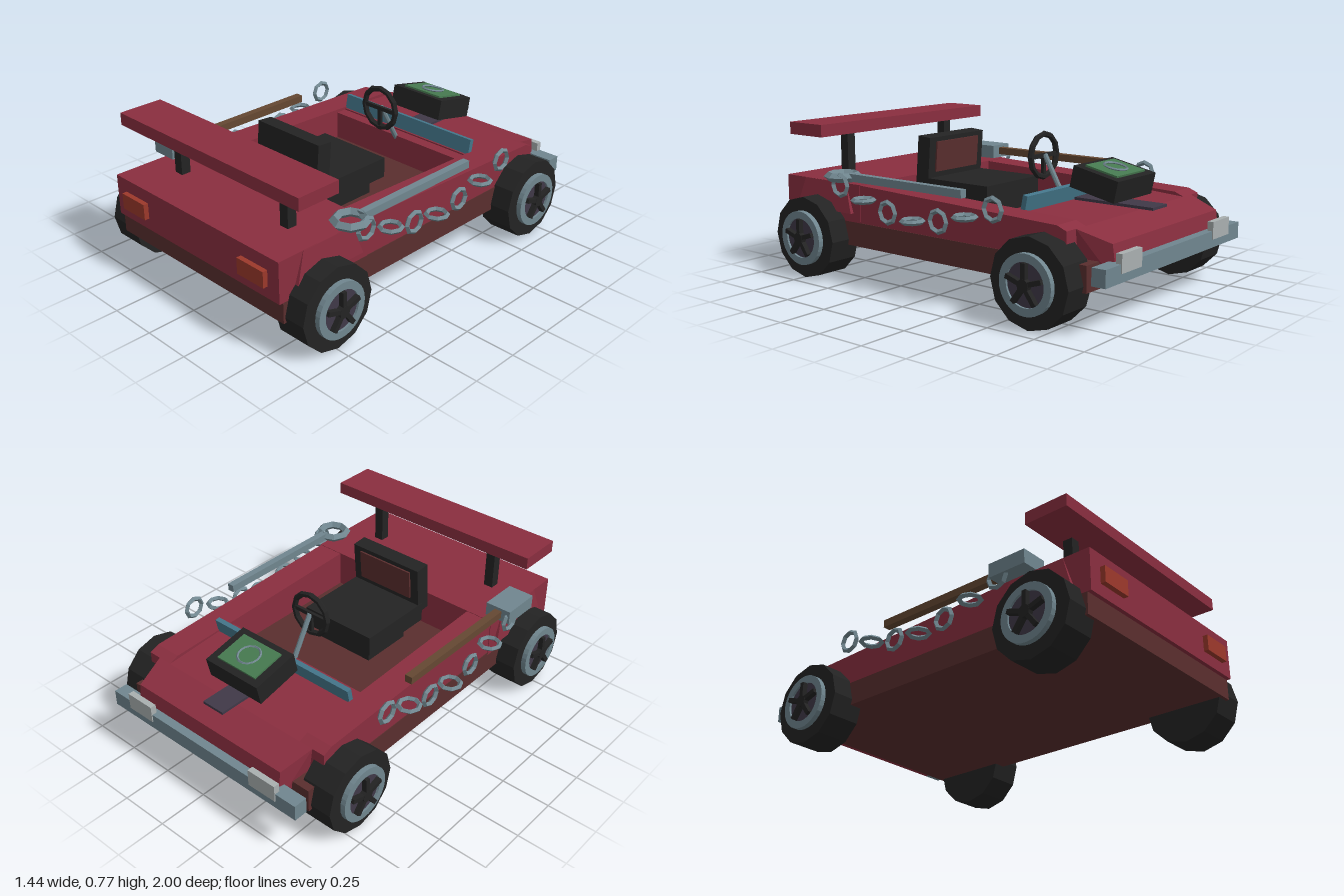
import * as THREE from 'three';

const mat = (name, color) => {
  const m = new THREE.MeshStandardMaterial({ color, flatShading: true });
  m.name = name;
  return m;
};

export function createModel() {
  const red = mat('body red', 0x8a2e3f), brown = mat('chassis brown', 0x5a2e2e);
  const black = mat('rubber black', 0x232323), silver = mat('steel', 0x70868f);
  const teal = mat('windshield teal', 0x44768a), green = mat('screen green', 0x467a50);
  const orange = mat('tail light orange', 0x9c392b), pale = mat('headlight grey', 0xa9afb0);
  const wood = mat('wood', 0x654832), purple = mat('dark plum', 0x403948);

  const model = new THREE.Group();
  model.name = 'buggy';

  const add = (name, geo, material, parent = model) => {
    const m = new THREE.Mesh(geo, material);
    m.name = name;
    parent.add(m);
    return m;
  };
  // Box given by its extents
  const box = (name, material, x0, x1, y0, y1, z0, z1, parent = model) => {
    const m = add(name, new THREE.BoxGeometry(x1 - x0, y1 - y0, z1 - z0), material, parent);
    m.position.set((x0 + x1) / 2, (y0 + y1) / 2, (z0 + z1) / 2);
    return m;
  };
  // Side profile in (z, y), extruded across x
  const profile = (pts, x0, x1) => {
    const shape = new THREE.Shape(pts.map(p => new THREE.Vector2(...p)));
    const g = new THREE.ExtrudeGeometry(shape, { depth: x1 - x0, bevelEnabled: false });
    return g.rotateY(-Math.PI / 2).translate(x1, 0, 0);
  };

  // Chassis and body
  box('chassis', brown, -0.57, 0.57, 0.18, 0.3, -0.885, 0.955);
  box('rearDeck', red, -0.57, 0.57, 0.285, 0.49, 0.45, 0.975);
  box('dashboard', red, -0.43, 0.43, 0.3, 0.445, -0.43, -0.36);
  const hood = profile([[-0.42, 0.3], [-0.42, 0.452], [-0.78, 0.43], [-0.94, 0.38],
    [-0.965, 0.21], [-0.78, 0.21]], -0.5, 0.5);
  const hp = hood.attributes.position;
  for (let i = 0; i < hp.count; i++) if (hp.getZ(i) < -0.85) hp.setX(i, hp.getX(i) * 0.92);
  hood.computeVertexNormals();
  add('hood', hood, red);

  for (const s of [-1, 1]) {
    const [a, b] = s > 0 ? [0.425, 0.567] : [-0.567, -0.425];
    add('sidePod', profile([[0.46, 0.3], [0.46, 0.488], [-0.73, 0.45], [-0.78, 0.43], [-0.78, 0.3]], a, b), red);
    // Rear fender, wider and longer at its foot
    const f = new THREE.BoxGeometry(0.1, 0.145, 0.39);
    const p = f.attributes.position;
    for (let i = 0; i < p.count; i++) if (p.getY(i) > 0) {
      if (p.getX(i) * s > 0) p.setX(i, s * 0.032);
      p.setZ(i, p.getZ(i) * 0.75);
    }
    f.computeVertexNormals();
    add('rearFender', f, red).position.set(s * 0.54, 0.4165, 0.69);
    // Lights
    box('tailLight', orange, s * 0.415 - 0.084, s * 0.415 + 0.084, 0.345, 0.425, 0.97, 1);
    box('headlight', pale, s * 0.4 - 0.08, s * 0.4 + 0.08, 0.265, 0.35, -1, -0.97);
    box('spoilerPost', black, s * 0.37 - 0.025, s * 0.37 + 0.025, 0.48, 0.72, 0.71, 0.76);
  }
  box('spoiler', red, -0.612, 0.612, 0.71, 0.772, 0.665, 0.895);
  box('frontBumper', silver, -0.595, 0.595, 0.225, 0.305, -0.995, -0.925);

  // Wheels
  const disc = (r, w, n) => new THREE.CylinderGeometry(r, r, w, n).rotateZ(Math.PI / 2);
  for (const s of [-1, 1]) for (const z of [-0.665, 0.74]) {
    const wheel = new THREE.Group();
    wheel.name = 'wheel';
    wheel.position.set(s * 0.593, 0.208, z);
    if (s < 0) wheel.rotation.y = Math.PI;
    model.add(wheel);
    add('tyre', disc(0.206, 0.172, 12), black, wheel);
    const ring = new THREE.Shape().absarc(0, 0, 0.137, 0, Math.PI * 2);
    ring.holes.push(new THREE.Path().absarc(0, 0, 0.1, 0, Math.PI * 2, true));
    const rim = new THREE.ExtrudeGeometry(ring, { depth: 0.03, bevelEnabled: false, curveSegments: 16 });
    add('rim', rim.rotateY(Math.PI / 2), silver, wheel).position.x = 0.082;
    add('wheelDisc', disc(0.105, 0.02, 16), purple, wheel).position.x = 0.091;
    add('hub', disc(0.03, 0.045, 10), black, wheel).position.x = 0.106;
    for (let i = 0; i < 5; i++) {
      const spoke = new THREE.BoxGeometry(0.03, 0.098, 0.022).translate(0.112, 0.049, 0);
      add('spoke', spoke.rotateX(i * Math.PI * 0.4), black, wheel);
    }
  }

  // Seat
  box('seatBase', black, -0.16, 0.16, 0.3, 0.39, 0, 0.28);
  box('seatCushion', black, -0.21, 0.207, 0.385, 0.488, -0.055, 0.36);
  const back = new THREE.Group();
  back.name = 'seatBack';
  back.position.set(0, 0.59, 0.36);
  back.rotation.x = -0.08;
  model.add(back);
  box('backrest', black, -0.207, 0.207, -0.15, 0.108, -0.04, 0.04, back);
  box('backrestPanel', brown, -0.16, 0.16, -0.07, 0.085, -0.049, -0.039, back);

  // Windshield and steering
  const shield = box('windshield', teal, -0.43, 0.43, 0.415, 0.525, -0.46, -0.435);
  shield.rotation.x = -0.2;
  const steering = new THREE.Group();
  steering.name = 'steeringWheel';
  steering.position.set(0, 0.635, -0.243);
  model.add(steering);
  add('steeringRim', new THREE.TorusGeometry(0.105, 0.015, 6, 12), black, steering);
  box('steeringBar', black, -0.1, 0.1, -0.01, 0.01, -0.008, 0.008, steering);
  box('steeringBarLower', black, -0.01, 0.01, -0.1, 0, -0.008, 0.008, steering);
  const top = new THREE.Vector3(0, 0.64, -0.25), foot = new THREE.Vector3(0, 0.43, -0.37);
  const column = add('steeringColumn', new THREE.CylinderGeometry(0.013, 0.013, top.distanceTo(foot), 8), silver);
  column.position.copy(top).add(foot).multiplyScalar(0.5);
  column.quaternion.setFromUnitVectors(new THREE.Vector3(0, 1, 0), top.clone().sub(foot).normalize());

  // Tilted display box over the hood strip
  box('hoodStrip', purple, -0.062, 0.062, 0.452, 0.465, -0.895, -0.47);
  const display = new THREE.Group();
  display.name = 'displayBox';
  display.position.set(0, 0.558, -0.642);
  display.rotation.x = -0.21;
  model.add(display);
  box('displayCase', black, -0.163, 0.163, -0.052, 0.052, -0.123, 0.123, display);
  box('displayScreen', green, -0.12, 0.12, 0.052, 0.061, -0.088, 0.088, display);
  const dial = add('displayRing', new THREE.TorusGeometry(0.055, 0.006, 4, 14).rotateX(Math.PI / 2), silver, display);
  dial.position.y = 0.066;

  // Side tools: wooden-handled hammer and a steel wrench
  box('hammerHandle', wood, -0.602, -0.563, 0.508, 0.546, -0.225, 0.5);
  box('hammerHead', silver, -0.65, -0.512, 0.49, 0.56, 0.487, 0.69);
  box('wrenchBar', silver, 0.56, 0.597, 0.508, 0.546, -0.225, 0.5);
  const loop = add('wrenchRing', new THREE.TorusGeometry(0.073, 0.023, 4, 8).rotateX(Math.PI / 2), silver);
  loop.position.set(0.573, 0.525, 0.557);

  // Hanging chains: links alternate between upright and flat
  const heights = [0.49, 0.435, 0.395, 0.375];
  for (const s of [-1, 1]) for (let i = 0; i < 7; i++) {
    const link = new THREE.TorusGeometry(0.05, 0.013, 4, 8);
    if (i % 2) link.rotateX(Math.PI / 2);
    else link.rotateY(Math.PI / 2);
    add('chainLink', link, silver).position.set(s * 0.63, heights[Math.min(i, 6 - i)], 0.52 - i * 0.159);
  }
  return model;
}
